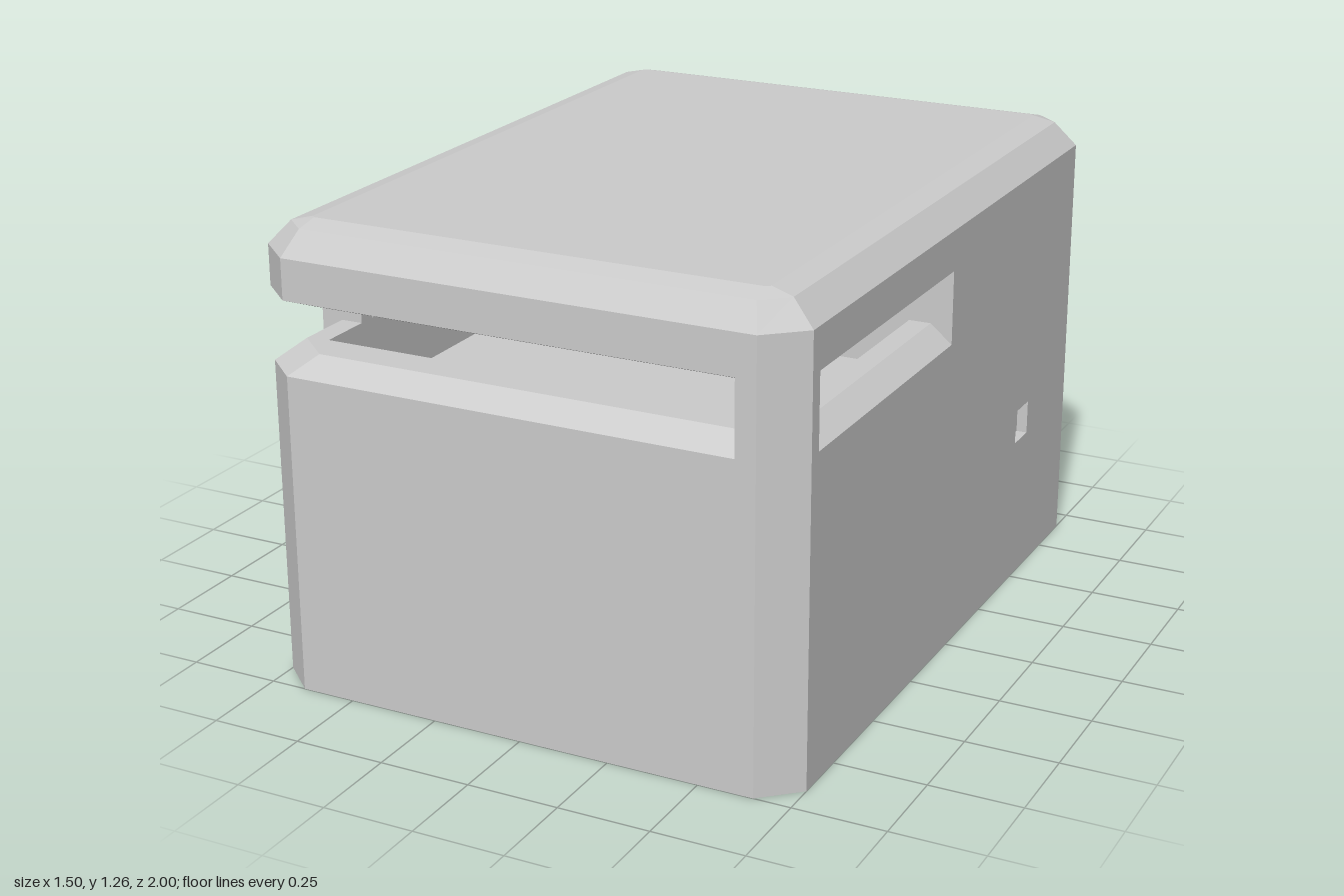
import * as THREE from 'three';

const material = new THREE.MeshStandardMaterial({ color: 0xcccccc, flatShading: true, side: THREE.DoubleSide });

// Rectangle plan with cut corners, as [x, z] points
function octagon(w, d, cx, cz) {
  return [
    [w, d - cz], [w - cx, d], [-w + cx, d], [-w, d - cz],
    [-w, -d + cz], [-w + cx, -d], [w - cx, -d], [w, -d + cz],
  ];
}

const toVectors = (plan) => plan.map(([x, z]) => new THREE.Vector2(x, -z));

export function createModel() {
  const model = new THREE.Group();
  model.name = 'bunker';

  function add(name, geometry, parent = model) {
    const mesh = new THREE.Mesh(geometry, material);
    mesh.name = name;
    parent.add(mesh);
    return mesh;
  }

  // Plan shape raised between two heights
  function layer(name, plan, y0, y1, hole) {
    const shape = new THREE.Shape(toVectors(plan));
    if (hole) shape.holes.push(new THREE.Path(toVectors(hole)));
    const geometry = new THREE.ExtrudeGeometry(shape, { depth: y1 - y0, bevelEnabled: false });
    geometry.rotateX(-Math.PI / 2).translate(0, y0, 0);
    return add(name, geometry);
  }

  // Sloping bands between stacked plans, optionally closed on top
  function loft(name, levels, capped) {
    const positions = [];
    const index = [];
    const n = levels[0].plan.length;
    levels.forEach(({ plan, y }) => plan.forEach(([x, z]) => positions.push(x, y, z)));
    for (let k = 0; k < levels.length - 1; k++) {
      for (let i = 0; i < n; i++) {
        const a = k * n + i, b = k * n + (i + 1) % n;
        index.push(a, a + n, b, b, a + n, b + n);
      }
    }
    const top = (levels.length - 1) * n;
    if (capped) for (let i = 1; i < n - 1; i++) index.push(top, top + i + 1, top + i);
    const geometry = new THREE.BufferGeometry();
    geometry.setAttribute('position', new THREE.Float32BufferAttribute(positions, 3));
    geometry.setIndex(index);
    const flat = geometry.toNonIndexed();
    flat.computeVertexNormals();
    return add(name, flat);
  }

  // Stepped frames that narrow a small opening; faces +z before turning
  function loophole(name, size, x, y, z, turn) {
    const group = new THREE.Group();
    group.name = name;
    const square = (s) => [[-s, -s], [s, -s], [s, s], [-s, s]].map(([a, b]) => new THREE.Vector2(a, b));
    [0.7, 0.48].forEach((f, i) => {
      const frame = new THREE.Shape(square(size / 2));
      frame.holes.push(new THREE.Path(square(size * f / 2)));
      const geometry = new THREE.ExtrudeGeometry(frame, { depth: 0.03, bevelEnabled: false });
      geometry.translate(0, 0, -0.06 - i * 0.03);
      add('loopholeStep', geometry, group);
    });
    group.position.set(x, y, z);
    group.rotation.y = turn;
    model.add(group);
  }

  const outer = octagon(0.75, 1, 0.1, 0.09);
  const inset = octagon(0.69, 0.94, 0.1, 0.09);

  // Interior plans: rear chamber, and the chamber joined to the firing room
  const rearRoom = [[0.63, -0.15], [0.63, -0.84], [-0.02, -0.84], [-0.02, -0.15]];
  const fullRoom = [
    [-0.63, 0.84], [0.63, 0.84], [0.63, -0.84], [-0.02, -0.84],
    [-0.02, -0.15], [-0.6, -0.15], [-0.63, -0.12],
  ];

  // Lower body, cut by the side loophole
  layer('base', outer, 0, 0.2);
  layer('lowerWall', outer, 0.2, 0.41, rearRoom);
  layer('sideLoopholeWall', [
    [0.75, -0.5], ...outer, [0.75, -0.595], [0.63, -0.595],
    [0.63, -0.84], [-0.02, -0.84], [-0.02, -0.15], [0.63, -0.15], [0.63, -0.5],
  ], 0.41, 0.505);
  layer('middleWall', outer, 0.505, 0.72, rearRoom);
  layer('upperWall', outer, 0.72, 0.87, fullRoom);
  loophole('sideLoophole', 0.095, 0.75, 0.4575, -0.5475, Math.PI / 2);

  // Sloped sill and lintel of the firing slits
  loft('sillSlope', [{ plan: outer, y: 0.87 }, { plan: inset, y: 0.92 }]);
  layer('sill', inset, 0.87, 0.92, fullRoom);
  loft('lintelSlope', [{ plan: inset, y: 1.045 }, { plan: outer, y: 1.07 }]);
  layer('ceiling', inset, 1.045, 1.07);

  // Rear wall at slit height, split by the rear loophole
  const rearOutside = [[0.75, 0.03], [0.75, -0.91], [0.65, -1]];
  const rearRest = [
    [-0.65, -1], [-0.75, -0.91], [-0.75, -0.09], [-0.63, -0.09], [-0.63, -0.12],
    [-0.6, -0.15], [-0.02, -0.15], [-0.02, -0.84],
  ];
  const rearInside = [[0.63, -0.84], [0.63, 0.03]];
  const rearWall = [...rearOutside, ...rearRest, ...rearInside];
  layer('rearWallLower', rearWall, 0.87, 0.945);
  layer('rearWallRight', [...rearOutside, [0.435, -1], [0.435, -0.84], ...rearInside], 0.945, 1.045);
  layer('rearWallLeft', [[0.335, -1], ...rearRest, [0.335, -0.84]], 0.945, 1.045);
  layer('rearWallUpper', rearWall, 1.045, 1.07);
  loophole('rearLoophole', 0.1, 0.385, 0.995, -1, Math.PI);

  // Supports between the slits
  layer('cornerPillar', [
    [0.595, 1], [0.65, 1], [0.75, 0.91], [0.75, 0.87], [0.63, 0.87], [0.63, 0.84], [0.595, 0.84],
  ], 0.87, 1.07);
  layer('slitPost', [[-0.75, 0.64], [-0.63, 0.64], [-0.63, 0.69], [-0.75, 0.69]], 0.87, 1.07);

  // Roof slab with two chamfers
  layer('roofSlab', outer, 1.07, 1.18);
  loft('roof', [
    { plan: outer, y: 1.18 },
    { plan: octagon(0.69, 0.95, 0.065, 0.06), y: 1.245 },
    { plan: octagon(0.63, 0.89, 0.01, 0.01), y: 1.26 },
  ], true);

  return model;
}
